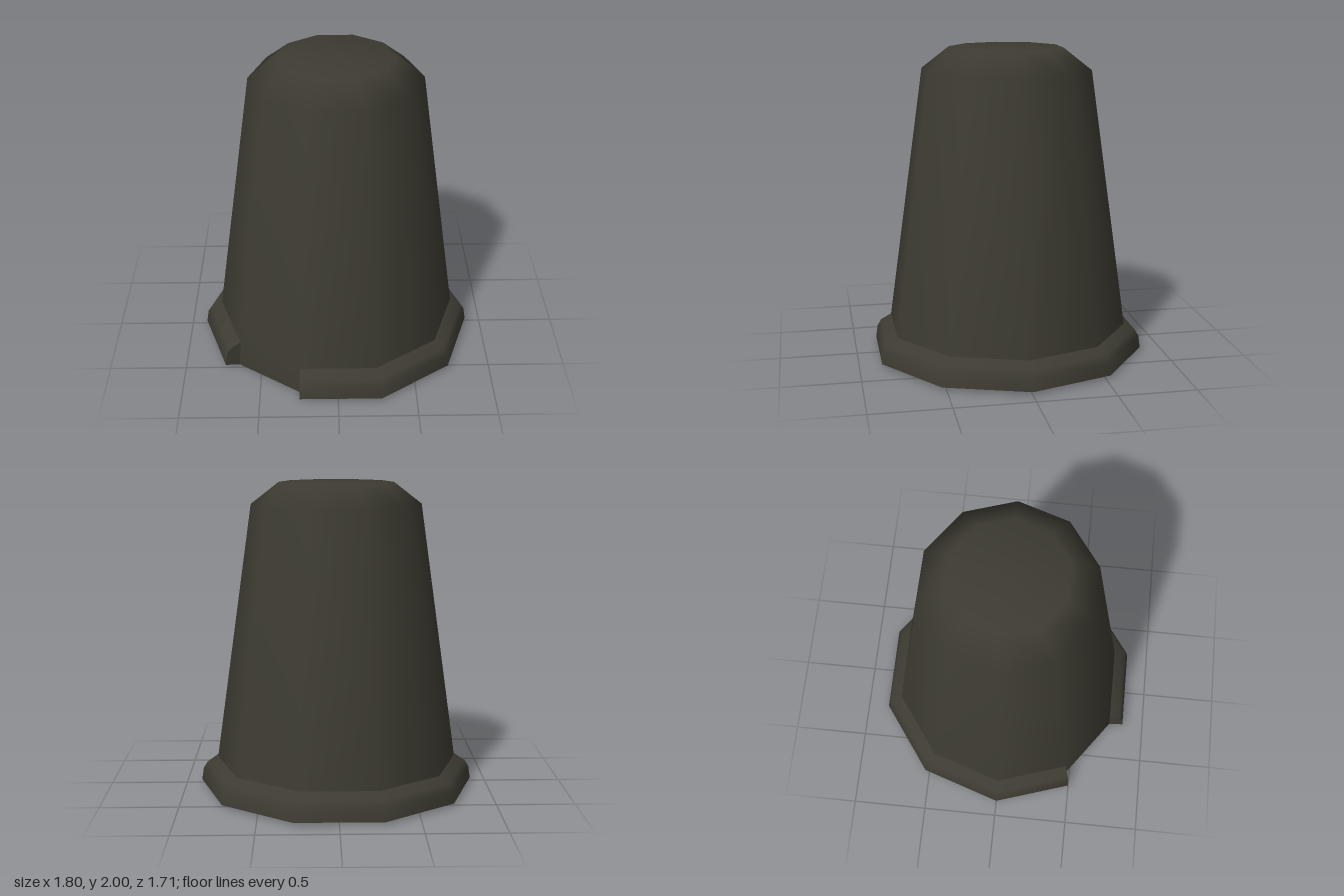
import * as THREE from 'three';

const SIDES = 10;
const STEP = (Math.PI * 2) / SIDES;
const HALF = STEP / 2;
const BODY_R = 0.8;

const pts = (list) => list.map(([r, y]) => new THREE.Vector2(r, y));

export function createModel() {
  const group = new THREE.Group();
  const charcoal = new THREE.MeshStandardMaterial({ color: 0x3d3b31 });
  charcoal.name = 'charcoal';

  const add = (name, geometry) => {
    const mesh = new THREE.Mesh(geometry, charcoal);
    mesh.name = name;
    group.add(mesh);
  };

  // Full ten-sided turned surface with corners on the x axis
  const turned = (name, profile) =>
    add(name, new THREE.LatheGeometry(pts(profile), SIDES, Math.PI / 2));

  // Tapered outer shell with bevelled shoulder and flat top
  turned('outerShell', [[BODY_R, 0], [0.79, 0.18], [0.55, 1.86], [0.37, 2], [0, 2]]);
  // Hollow inside
  turned('innerWall', [[0, 1.88], [0.34, 1.88], [0.47, 1.76], [0.68, 0]]);
  // Flat ring closing the wall underneath
  turned('bottomEdge', [[0.68, 0], [BODY_R, 0]]);

  // Rim with one side left open; its ends are cut square to their sides
  const startSide = 0;
  const endSide = STEP * (SIDES - 2);
  const cut = BODY_R * Math.sin(HALF);
  const squarePoint = (side, offset, r) => {
    const d = r * Math.cos(HALF);
    return [
      Math.sin(side) * d + Math.cos(side) * offset,
      Math.cos(side) * d - Math.sin(side) * offset,
    ];
  };

  const rimStrip = (name, profile) => {
    const n = profile.length;
    const geometry = new THREE.LatheGeometry(pts(profile), SIDES - 1, -HALF, STEP * (SIDES - 1));
    const pos = geometry.attributes.position;
    profile.forEach(([r], j) => {
      const [sx, sz] = squarePoint(startSide, -cut, r);
      const [ex, ez] = squarePoint(endSide, cut, r);
      pos.setX(j, sx).setZ(j, sz);
      const k = (SIDES - 1) * n + j;
      pos.setX(k, ex).setZ(k, ez);
    });
    add(name, geometry);
  };

  const rimOuter = [[0.9, 0.02], [0.888, 0.1], [0.862, 0.143], [0.79, 0.18]];
  rimStrip('rim', rimOuter);
  rimStrip('rimUnderside', [[BODY_R, 0], [0.9, 0.02]]);

  // Flat faces at the two rim ends
  const endFace = (name, side, sign) => {
    const outline = pts([[0.78, 0], [BODY_R, 0], ...rimOuter, [0.78, 0.18]]);
    outline.forEach((p) => { p.x *= -sign * Math.cos(HALF); });
    const geometry = new THREE.ShapeGeometry(new THREE.Shape(outline));
    geometry.rotateY(side - Math.PI / 2 + (sign > 0 ? Math.PI : 0));
    geometry.translate(Math.cos(side) * cut * sign, 0, -Math.sin(side) * cut * sign);
    add(name, geometry);
  };
  endFace('rimEndFront', startSide, -1);
  endFace('rimEndRight', endSide, 1);

  return group;
}
